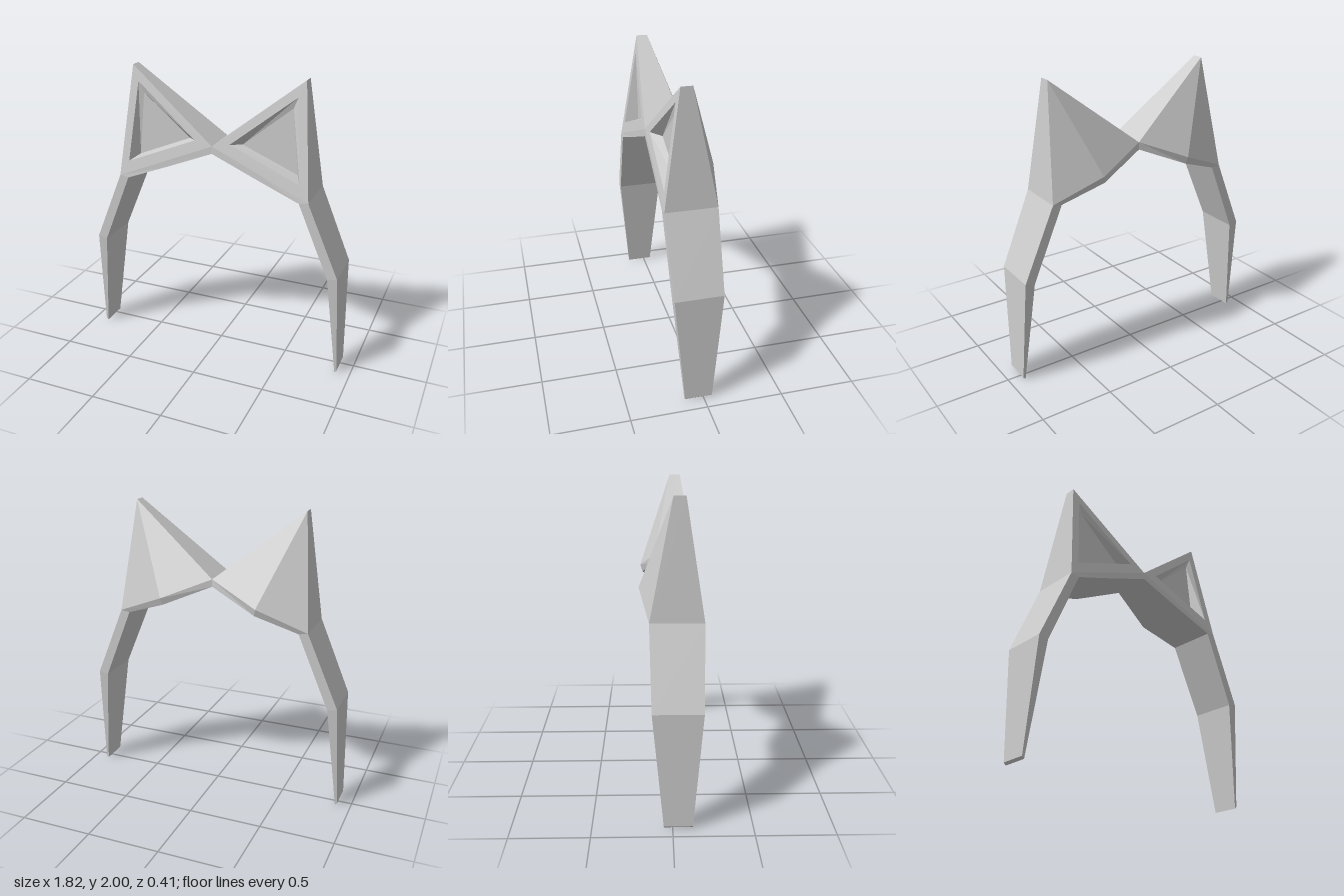
import * as THREE from 'three';

// Flat-shaded mesh from corner loops (triangles or quads); side = -1 mirrors across x
function facetMesh(name, faces, side) {
  const pos = [];
  for (const face of faces) {
    const loop = face.map(([x, y, z]) => [x * side, y, z]);
    if (side < 0) loop.reverse();
    for (let i = 1; i < loop.length - 1; i++) pos.push(...loop[0], ...loop[i], ...loop[i + 1]);
  }
  const geo = new THREE.BufferGeometry();
  geo.setAttribute('position', new THREE.Float32BufferAttribute(pos, 3));
  geo.computeVertexNormals();
  const mesh = new THREE.Mesh(geo, new THREE.MeshStandardMaterial({ color: 0xcccccc, flatShading: true }));
  mesh.name = name;
  return mesh;
}

// Band cross-section: outer front, outer back, inner back, inner front
const section = (ox, oy, ix, iy, front, back) =>
  [[ox, oy, front], [ox, oy, back], [ix, iy, back], [ix, iy, front]];

// Strip of quads joining two loops of corners
const strip = (a, b, sides) => sides.map(i => {
  const j = (i + 1) % a.length;
  return [a[i], a[j], b[j], b[i]];
});

export function createModel() {
  const group = new THREE.Group();
  group.name = 'catEarHeadband';

  // Band sections from foot to crown
  const foot = section(0.91, 0.015, 0.895, 0, 0.125, -0.055);
  const knee = section(0.885, 0.75, 0.82, 0.735, 0.19, -0.125);
  const temple = section(0.672, 1.25, 0.61, 1.24, 0.2, -0.138);
  const arch = section(0.336, 1.39, 0.325, 1.35, 0.1825, -0.205);
  arch[2] = [0.325, 1.342, -0.19];
  const crown = section(0, 1.53, 0, 1.48, 0.165, -0.105);

  const all = [0, 1, 2, 3], underEar = [1, 2, 3];
  const legFaces = [
    [...foot].reverse(),
    ...strip(foot, knee, all),
    ...strip(knee, temple, all),
  ];
  const archFaces = [
    ...strip(temple, arch, underEar),
    ...strip(arch, crown, underEar),
  ];

  // Ear: front rim triangle, sunken panel and faceted back
  const tipFront = [0.595, 2, 0.085], tipBack = [0.595, 2, 0.01];
  const rim = [tipFront, crown[0], temple[0]];
  const plane = new THREE.Plane().setFromCoplanarPoints(...rim.map(p => new THREE.Vector3(...p)));
  const onRim = (x, y) => [x, y, -(plane.constant + plane.normal.x * x + plane.normal.y * y) / plane.normal.z];
  const opening = [onRim(0.552, 1.895), onRim(0.122, 1.555), onRim(0.605, 1.358)];
  const panel = [[0.52, 1.82, 0.09], [0.187, 1.545, 0.09], [0.563, 1.388, 0.09]];
  const earFaces = [
    ...strip(rim, opening, [0, 1, 2]),
    [tipFront, tipBack, crown[1], crown[0]],
    [temple[0], temple[1], tipBack, tipFront],
    [tipBack, temple[1], arch[1]],
    [tipBack, arch[1], crown[1]],
  ];
  const recessFaces = [...strip(opening, panel, [0, 1, 2]), panel];

  for (const [label, side] of [['left', 1], ['right', -1]]) {
    group.add(
      facetMesh(label + 'BandLeg', legFaces, side),
      facetMesh(label + 'BandArch', archFaces, side),
      facetMesh(label + 'Ear', earFaces, side),
      facetMesh(label + 'EarRecess', recessFaces, side),
    );
  }
  return group;
}
